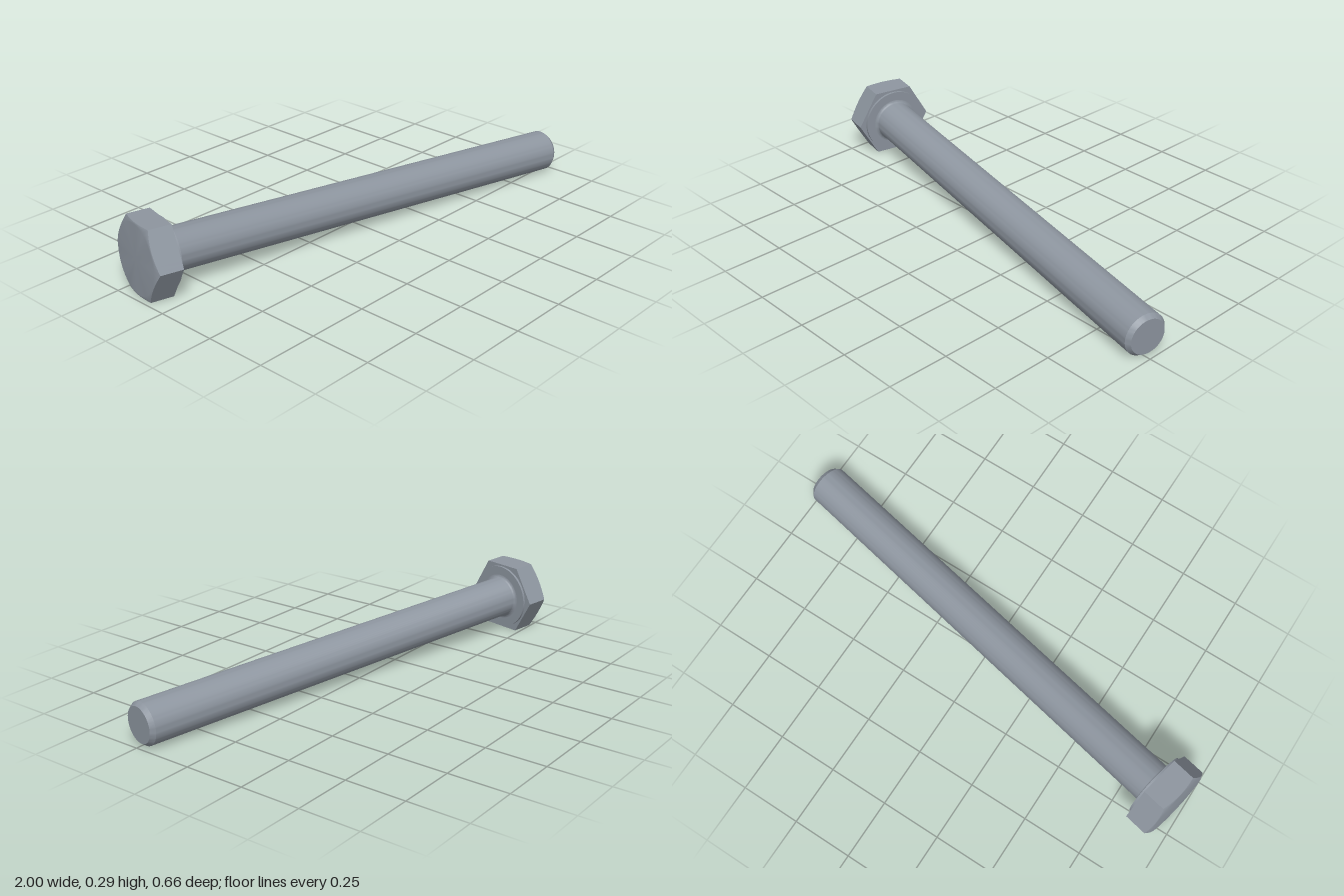
import * as THREE from 'three';
import { toCreasedNormals } from 'three/addons/utils/BufferGeometryUtils.js';

const SHAFT_R = 0.0855, LENGTH = 1.894;          // shank radius, underside of head to tip
const HEX_R = 0.167, FACE_R = 0.139;             // head corner radius, flat face radius
const HEAD_H = 0.106, CHAMFER_SLOPE = 0.42;
const STEPS = 10, RIM = 6 * STEPS;               // points per hexagon side, points round the rim

function buildGeometry(positions, index) {
  const g = new THREE.BufferGeometry();
  g.setAttribute('position', new THREE.Float32BufferAttribute(positions, 3));
  g.setIndex(index);
  return g;
}

// Point on the hexagon outline, evenly spaced along each side
function hexPoint(i) {
  const corner = (k) => new THREE.Vector2(Math.sin(k * Math.PI / 3), Math.cos(k * Math.PI / 3)).multiplyScalar(HEX_R);
  const side = Math.floor(i / STEPS);
  return corner(side).lerp(corner(side + 1), (i % STEPS) / STEPS);
}

// The conical chamfer cuts scallops into the hexagon sides
const chamferY = (r) => -HEAD_H + Math.max(0, r - FACE_R) * CHAMFER_SLOPE;

function headCapGeometry() {
  const pos = [0, -HEAD_H, 0], index = [];
  for (let i = 0; i < RIM; i++) {
    const p = hexPoint(i), r = p.length(), s = FACE_R / r;
    pos.push(p.x * s, -HEAD_H, p.y * s, p.x, chamferY(r), p.y);
    const a = 1 + 2 * i, b = 1 + 2 * ((i + 1) % RIM);
    index.push(0, b, a, a, b, b + 1, a, b + 1, a + 1);
  }
  const g = buildGeometry(pos, index);
  g.computeVertexNormals();
  return g;
}

function headSidesGeometry() {
  const pos = [0, 0, 0], index = [];
  for (let i = 0; i < RIM; i++) {
    const p = hexPoint(i);
    pos.push(p.x, chamferY(p.length()), p.y, p.x, 0, p.y);
    const a = 1 + 2 * i, b = 1 + 2 * ((i + 1) % RIM);
    index.push(a, b, b + 1, a, b + 1, a + 1);   // side wall
    index.push(0, a + 1, b + 1);                // flat underside
  }
  return toCreasedNormals(buildGeometry(pos, index), 0.4);
}

function turned(points) {
  const profile = points.map(([r, y]) => new THREE.Vector2(r, y));
  return toCreasedNormals(new THREE.LatheGeometry(profile, 64), 0.5);
}

export function createModel() {
  const steel = new THREE.MeshStandardMaterial({ color: 0x8d959f });
  steel.name = 'steel grey';
  const bolt = new THREE.Group();
  bolt.name = 'bolt';
  const add = (name, geometry) => {
    const mesh = new THREE.Mesh(geometry, steel);
    mesh.name = name;
    bolt.add(mesh);
  };

  // Hexagonal head
  add('headCap', headCapGeometry());
  add('headSides', headSidesGeometry());

  // Raised bearing face under the head
  const washer = 0.01;
  add('washerFace', turned([[0.137, -0.001], [0.137, washer], [0.08, washer]]));

  // Shank with a fillet at the head and a chamfered tip
  const fillet = 0.014, shank = [];
  for (let i = 0; i <= 6; i++) {
    const a = i / 6 * Math.PI / 2;
    shank.push([SHAFT_R + fillet * (1 - Math.sin(a)), washer + fillet * (1 - Math.cos(a))]);
  }
  shank.push([SHAFT_R, LENGTH - 0.018], [0.072, LENGTH], [0, LENGTH]);
  add('shank', turned(shank));

  // Lay the bolt along its tilted axis, with two head flats up and down
  const head = new THREE.Vector3(-0.868, 0.147, -0.146);
  const tip = new THREE.Vector3(0.983, 0.0875, 0.249);
  const axis = tip.sub(head).normalize();
  const side = new THREE.Vector3().crossVectors(axis, new THREE.Vector3(0, 1, 0)).normalize();
  const up = new THREE.Vector3().crossVectors(side, axis);
  bolt.quaternion.setFromRotationMatrix(new THREE.Matrix4().makeBasis(up, axis, side.negate()));
  bolt.position.copy(head);

  const model = new THREE.Group();
  model.name = 'hexBolt';
  model.add(bolt);
  return model;
}
